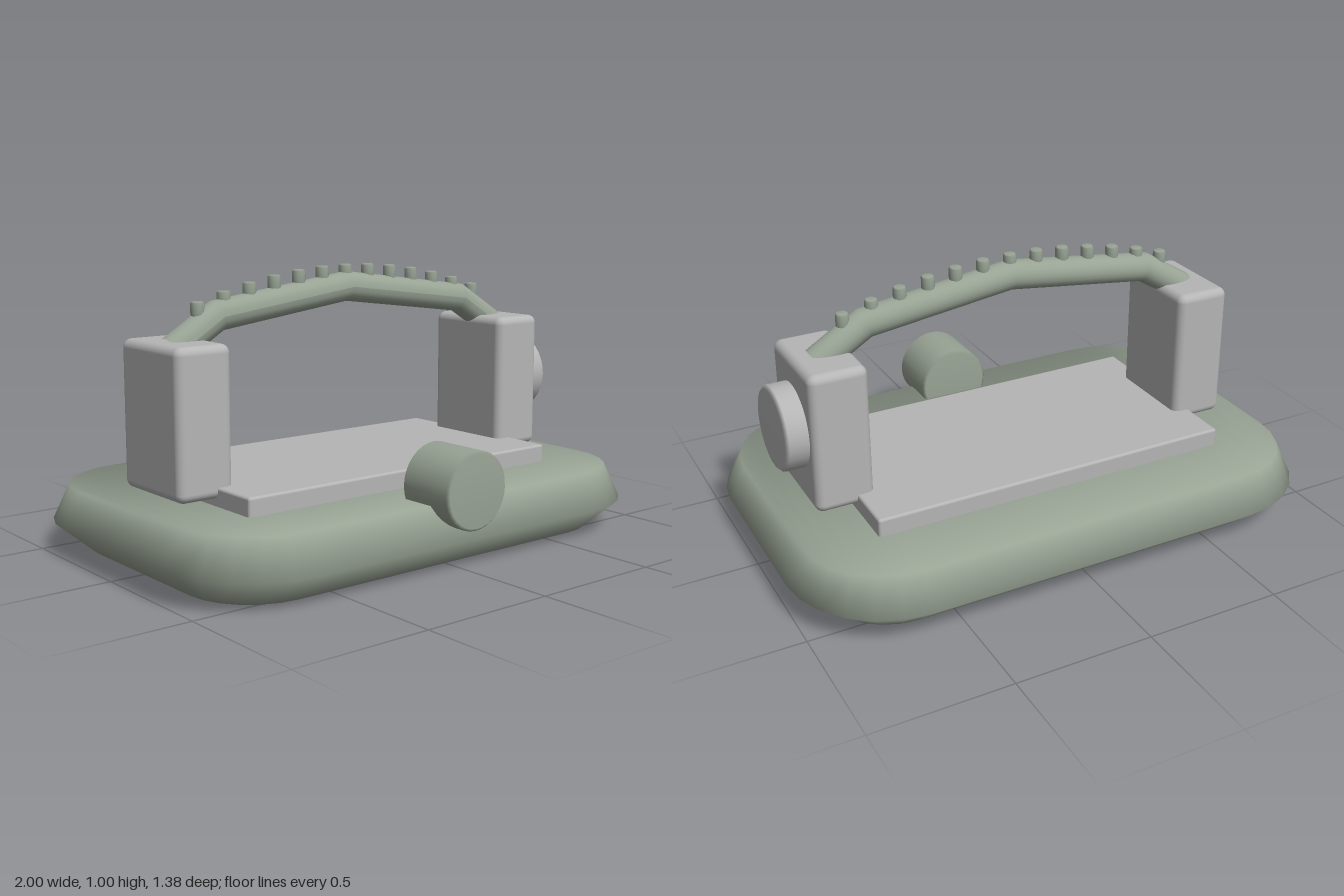
import * as THREE from 'three';
import { RoundedBoxGeometry } from 'three/addons/geometries/RoundedBoxGeometry.js';

const green = new THREE.MeshStandardMaterial({ name: 'sage green', color: 0x98a394 });
const grey = new THREE.MeshStandardMaterial({ name: 'light grey', color: 0xb5b5b5 });
const ZC = -0.014; // depth of the shared centre line

function add(parent, name, geometry, material, x, y, z) {
  const mesh = new THREE.Mesh(geometry, material);
  mesh.name = name;
  mesh.position.set(x, y, z);
  parent.add(mesh);
  return mesh;
}

// Solid disc or barrel along y with a small bevel, softly shaded
function barrel(r, h, bevel, sides) {
  const profile = [
    [0, -h / 2], [r - bevel, -h / 2], [r, -h / 2 + bevel],
    [r, h / 2 - bevel], [r - bevel, h / 2], [0, h / 2],
  ].map(([x, y]) => new THREE.Vector2(x, y));
  return new THREE.LatheGeometry(profile, sides);
}

// Rounded-rectangle hull lofted through three rings, with soft normals
function hullGeometry(halfX, halfZ, radius) {
  // inset, height, outward and upward share of the normal
  const rings = [
    [0.125, 0, 0.34, -0.94],
    [0, 0.107, 0.97, -0.24],
    [0.06, 0.235, 0.55, 0.83],
  ];
  const steps = 6;
  const n = 4 * (steps + 1);
  const positions = [], normals = [], index = [];
  for (const [inset, y, out, up] of rings) {
    for (let corner = 0; corner < 4; corner++) {
      const sx = corner === 0 || corner === 3 ? 1 : -1;
      const sz = corner < 2 ? 1 : -1;
      for (let k = 0; k <= steps; k++) {
        const a = (corner + k / steps) * Math.PI / 2;
        const c = Math.cos(a), s = Math.sin(a);
        positions.push(
          sx * (halfX - radius) + c * (radius - inset), y,
          sz * (halfZ - radius) + s * (radius - inset));
        normals.push(c * out, up, s * out);
      }
    }
  }
  for (let r = 0; r < 2; r++) {
    for (let i = 0; i < n; i++) {
      const j = (i + 1) % n, a = r * n, b = a + n;
      index.push(a + i, b + i, a + j, a + j, b + i, b + j);
    }
  }
  // Top and bottom faces, in strips running front to back
  for (let i = 0; i < n / 2 - 1; i++) {
    const m = n - 1 - i, t = 2 * n;
    index.push(t + i, t + m, t + i + 1, t + i + 1, t + m, t + m - 1);
    index.push(i, i + 1, m, i + 1, m - 1, m);
  }
  const g = new THREE.BufferGeometry();
  g.setAttribute('position', new THREE.Float32BufferAttribute(positions, 3));
  g.setAttribute('normal', new THREE.Float32BufferAttribute(normals, 3));
  g.setIndex(index);
  return g;
}

// Round bar with mitred bends, made by moving the rows of a cylinder
function handleGeometry(points, radius) {
  const path = points.map(([x, y]) => new THREE.Vector2(x, y));
  const last = path.length - 1;
  const g = new THREE.CylinderGeometry(1, 1, 1, 20, last, true);
  const pos = g.attributes.position;
  const normalOf = (i) => {
    const d = path[i + 1].clone().sub(path[i]).normalize();
    return new THREE.Vector2(-d.y, d.x);
  };
  for (let v = 0; v < pos.count; v++) {
    const row = Math.round((pos.getY(v) + 0.5) * last);
    const before = normalOf(Math.max(row - 1, 0));
    const after = normalOf(Math.min(row, last - 1));
    const mitre = before.clone().add(after).normalize();
    const reach = -pos.getX(v) * radius / mitre.dot(after);
    pos.setXYZ(v, path[row].x + mitre.x * reach, path[row].y + mitre.y * reach, pos.getZ(v) * radius);
  }
  g.computeVertexNormals();
  return g;
}

export function createModel() {
  const model = new THREE.Group();
  model.name = 'model';

  // Base and the plate on top of it
  add(model, 'base', hullGeometry(1, 0.674, 0.37), green, 0, 0, ZC);
  add(model, 'topPlate', new RoundedBoxGeometry(1.37, 0.1, 0.73, 2, 0.01), grey, 0, 0.25, ZC - 0.002);

  // Pair of posts
  for (const side of [1, -1]) {
    add(model, side > 0 ? 'leftPost' : 'rightPost',
      new RoundedBoxGeometry(0.212, 0.515, 0.366, 4, 0.03), grey, side * 0.725, 0.517, ZC);
  }

  // Knob on the outside of the left post
  const knob = add(model, 'sideKnob', barrel(0.152, 0.1, 0.012, 32), grey, 0.863, 0.528, ZC);
  knob.rotation.z = -Math.PI / 2;

  // Short barrel at the front
  const front = add(model, 'frontBarrel', barrel(0.137, 0.226, 0.01, 32), green, 0, 0.282, 0.577);
  front.rotation.x = Math.PI / 2;

  // Bent handle bar
  const bar = [[-0.74, 0.738], [-0.56, 0.848], [0, 0.92], [0.56, 0.848], [0.74, 0.738]];
  add(model, 'handle', handleGeometry(bar, 0.054), green, 0, 0, ZC);

  // Row of grip studs along a shallow arc
  const studs = new THREE.Group();
  studs.name = 'gripStuds';
  const studGeometry = barrel(0.024, 0.05, 0.005, 12);
  for (let i = -6; i <= 6; i++) {
    add(studs, 'stud', studGeometry, green, i * 0.106, 0.975 - 0.1 * (i / 6) ** 2, ZC);
  }
  model.add(studs);
  return model;
}
